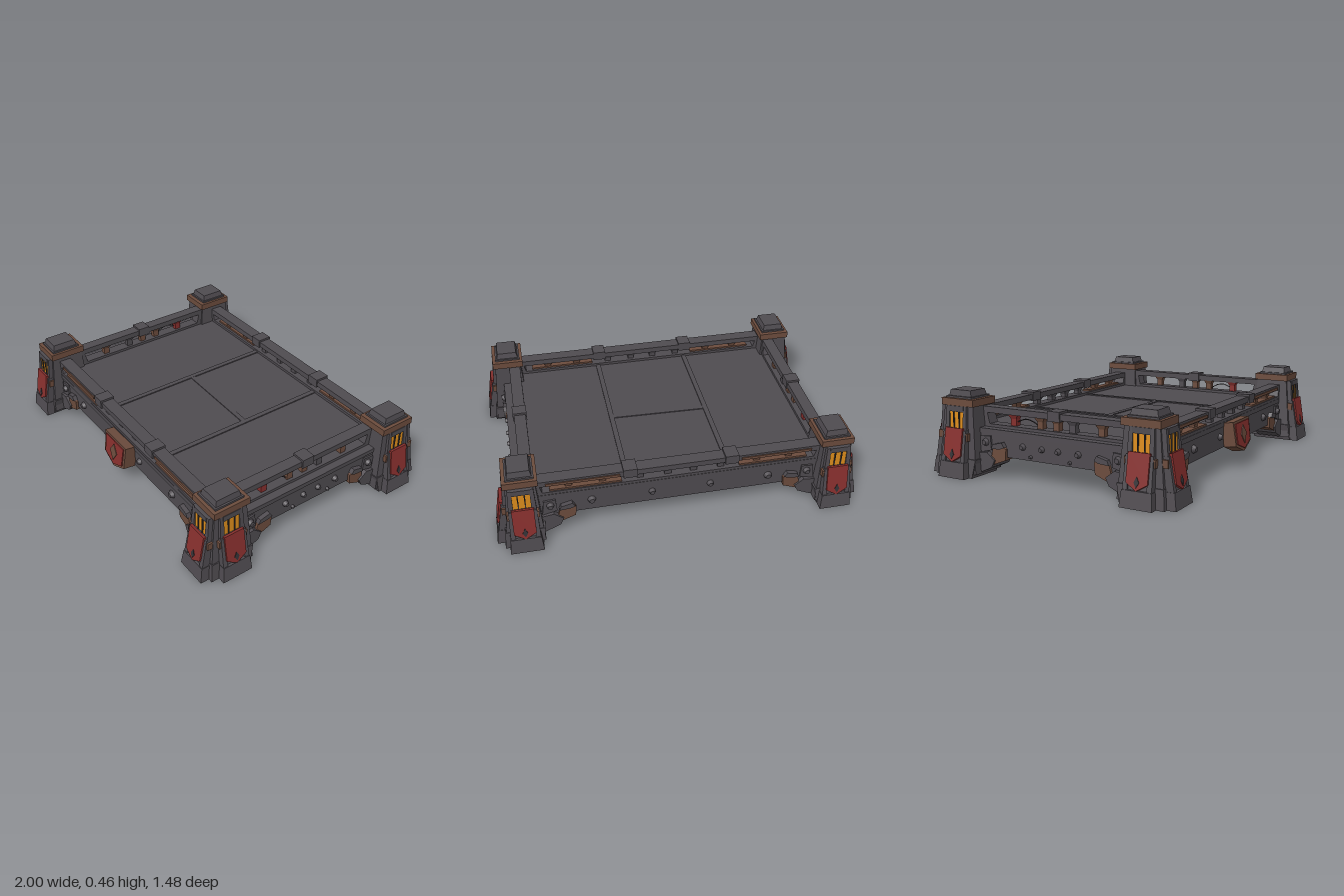
import * as THREE from 'three';

const mat = (name, color) => {
  const m = new THREE.MeshStandardMaterial({ color });
  m.name = name;
  return m;
};

export function createModel() {
  const stone = mat('stone grey', 0x4f4b50);
  const dark = mat('dark iron', 0x343135);
  const bronze = mat('bronze brown', 0x6c4c3d);
  const red = mat('banner red', 0x862f2d);
  const glow = mat('window orange', 0xdb8c1c);
  const root = new THREE.Group();

  const add = (parent, name, geo, m) => {
    const mesh = new THREE.Mesh(geo, m);
    mesh.name = name;
    parent.add(mesh);
    return mesh;
  };
  const group = (name, parent = root) => {
    const g = new THREE.Group();
    g.name = name;
    parent.add(g);
    return g;
  };
  // Box whose bottom and top rectangles [x0, x1, z0, z1] may differ
  const block = (parent, name, m, y0, y1, b, t = b) => {
    const geo = new THREE.BoxGeometry(1, 1, 1);
    const p = geo.attributes.position;
    for (let i = 0; i < p.count; i++) {
      const up = p.getY(i) > 0, r = up ? t : b;
      const [xa, xb] = [Math.min(r[0], r[1]), Math.max(r[0], r[1])];
      const [za, zb] = [Math.min(r[2], r[3]), Math.max(r[2], r[3])];
      p.setXYZ(i, p.getX(i) > 0 ? xb : xa, up ? y1 : y0, p.getZ(i) > 0 ? zb : za);
    }
    geo.computeVertexNormals();
    return add(parent, name, geo, m);
  };
  // Flat outline in x, y pushed out along z
  const plate = (parent, name, m, pts, z0, depth) => {
    const shape = new THREE.Shape(pts.map(([x, y]) => new THREE.Vector2(x, y)));
    const geo = new THREE.ExtrudeGeometry(shape, { depth, bevelEnabled: false });
    geo.translate(0, 0, z0);
    return add(parent, name, geo, m);
  };
  const bolt = (parent, x, y, z, r = 0.02) => {
    const geo = new THREE.CylinderGeometry(r * 0.6, r, 0.02, 8).rotateX(Math.PI / 2);
    add(parent, 'bolt', geo, stone).position.set(x, y, z);
  };

  // Platform
  block(root, 'platform', stone, 0.12, 0.262, [-0.88, 0.88, -0.605, 0.605]);
  for (const x of [-0.272, 0.285]) {
    block(root, 'floorSeam', stone, 0.262, 0.268, [x - 0.014, x + 0.014, -0.54, 0.54]);
  }
  const seam = block(root, 'floorSeam', stone, 0.262, 0.267, [-0.265, 0.27, -0.04, -0.012]);
  seam.rotation.y = -0.03;

  // Buttress with banner and lit window; local z = 0 is its outermost edge
  const buttress = (x, z, angle) => {
    const g = group('buttress');
    g.position.set(x, 0, z);
    g.rotation.y = angle;
    block(g, 'foot', stone, 0, 0.085, [-0.088, 0.088, -0.16, 0], [-0.08, 0.08, -0.16, -0.012]);
    block(g, 'pier', stone, 0.085, 0.255, [-0.058, 0.058, -0.16, -0.026], [-0.052, 0.052, -0.16, -0.055]);
    for (const s of [-1, 1]) {
      block(g, 'pierCheek', stone, 0.085, 0.25, [s * 0.052, s * 0.078, -0.16, -0.016], [s * 0.05, s * 0.073, -0.16, -0.045]);
      block(g, 'bronzeClip', bronze, 0.195, 0.235, [s * 0.07, s * 0.084, -0.12, -0.045]);
      block(g, 'windowJamb', stone, 0.25, 0.376, [s * 0.046, s * 0.072, -0.13, -0.052], [s * 0.046, s * 0.066, -0.13, -0.064]);
    }
    block(g, 'window', glow, 0.255, 0.348, [-0.046, 0.046, -0.12, -0.062], [-0.046, 0.046, -0.12, -0.066]);
    block(g, 'lintel', stone, 0.345, 0.376, [-0.05, 0.05, -0.13, -0.06]);
    for (const bx of [-0.018, 0.018]) {
      block(g, 'windowBar', dark, 0.255, 0.345, [bx - 0.003, bx + 0.003, -0.08, -0.058]);
    }
    // Banner leans back with the pier
    const b = group('banner', g);
    b.position.set(0, 0.262, -0.046);
    b.rotation.x = -0.17;
    plate(b, 'bannerCloth', red, [[-0.058, 0], [-0.058, -0.145], [0, -0.18], [0.058, -0.145], [0.058, 0]], -0.008, 0.016);
    plate(b, 'bannerMark', dark, [[-0.014, -0.14], [0, -0.165], [0.014, -0.14], [0, -0.112]], 0.007, 0.004);
  };

  // Corner towers
  for (const sx of [-1, 1]) for (const sz of [-1, 1]) {
    const g = group('cornerTower');
    const r = (x0, x1, z0, z1) => [sx * x0, sx * x1, sz * z0, sz * z1];
    block(g, 'towerBody', stone, 0.02, 0.38, r(0.745, 0.95, 0.43, 0.685), r(0.77, 0.922, 0.458, 0.648));
    block(g, 'cornice', bronze, 0.376, 0.414, r(0.756, 0.936, 0.446, 0.658));
    block(g, 'capStep', stone, 0.414, 0.424, r(0.772, 0.918, 0.47, 0.64));
    block(g, 'capBlock', stone, 0.424, 0.456, r(0.782, 0.908, 0.48, 0.63), r(0.79, 0.902, 0.488, 0.622));
    block(g, 'innerFoot', stone, 0.0, 0.1, r(0.76, 0.96, 0.45, 0.69), r(0.74, 0.95, 0.43, 0.68));
    buttress(sx * 0.848, sz * 0.738, sz > 0 ? 0 : Math.PI);
    buttress(sx * 1.0, sz * 0.558, sx * Math.PI / 2);
  }

  // One wall facing local +z: half length, outer face, rail heights and depths
  const wall = (name, angle, o) => {
    const g = group(name);
    g.rotation.y = angle;
    const { L, f, y0, y1, r0, r1 } = o;
    block(g, 'topRail', stone, y0, y1, [-L, L, r0, r1]);
    block(g, 'curb', stone, 0.255, 0.278, [-L, L, r0, r1]);
    block(g, 'wallTrim', stone, 0.236, 0.262, [-L, L, f - 0.01, f + 0.004]);
    for (const x of o.clamps) {
      block(g, 'railClamp', stone, y0 - 0.008, y1 + 0.012, [x - 0.037, x + 0.037, r0 - 0.006, r1 + 0.008]);
    }
    // Balusters with flared heads
    const mid = (r0 + r1) / 2;
    for (const [x, m] of o.balusters) {
      block(g, 'baluster', m, 0.278, y0, [x - 0.018, x + 0.018, mid - 0.016, mid + 0.016]);
      block(g, 'balusterHead', m, y0 - 0.022, y0, [x - 0.018, x + 0.018, mid - 0.016, mid + 0.016], [x - 0.03, x + 0.03, mid - 0.026, mid + 0.026]);
    }
    for (const [x, rad] of o.bolts) for (const s of [-1, 1]) bolt(g, s * x, 0.187, f + 0.009, rad);
    for (const s of [-1, 1]) {
      // Rail end block, diagonal brace and its bronze shoe
      block(g, 'railEnd', stone, 0.25, y1, [s * L, s * (L - 0.05), r0, r1], [s * L, s * (L - 0.02), r0, r1]);
      const e = o.brace;
      const pts = (list) => list.map(([u, y]) => [s * (e - u), y]);
      plate(g, 'brace', stone, pts([[-0.06, 0.005], [0, 0.01], [0.11, 0.06], [0.13, 0.1], [0.08, 0.14], [-0.06, 0.12]]), f - 0.12, 0.145);
      plate(g, 'braceShoe', bronze, pts([[0.09, 0.065], [0.115, 0.165], [0.17, 0.18], [0.2, 0.165], [0.195, 0.105]]), f - 0.12, 0.135);
      plate(g, 'braceCap', stone, pts([[0.11, 0.16], [0.12, 0.185], [0.18, 0.2], [0.195, 0.175], [0.17, 0.165]]), f - 0.02, 0.045);
      plate(g, 'bracePlate', stone, pts([[0.02, 0.13], [0.03, 0.22], [0.095, 0.225], [0.1, 0.15]]), f - 0.02, 0.03);
      bolt(g, s * (e - 0.065), 0.19, f + 0.018, 0.022);
    }
    return g;
  };

  const long = {
    L: 0.78, f: 0.605, y0: 0.318, y1: 0.35, r0: 0.535, r1: 0.607, brace: 0.77, clamps: [-0.275, 0.275],
    balusters: [[-0.6, bronze], [-0.42, bronze], [-0.22, stone], [-0.07, stone], [0.07, stone], [0.22, stone], [0.42, bronze], [0.6, bronze]],
    bolts: [[0.16, 0.02], [0.485, 0.024]],
  };
  const short = {
    L: 0.46, f: 0.88, y0: 0.337, y1: 0.37, r0: 0.775, r1: 0.84, brace: 0.47, clamps: [0],
    balusters: [[-0.27, red], [-0.1, bronze], [0, bronze], [0.1, stone], [0.27, bronze]],
    bolts: [[0.05, 0.017], [0.17, 0.019]],
  };
  for (const [name, angle] of [['frontWall', 0], ['backWall', Math.PI]]) {
    const g = wall(name, angle, long);
    // Bronze planks along the outer spans of the rail
    for (const s of [-1, 1]) {
      block(g, 'railPlank', bronze, 0.323, 0.338, [s * 0.33, s * 0.72, 0.6, 0.613]);
      block(g, 'curbPlank', bronze, 0.266, 0.288, [s * 0.32, s * 0.7, 0.55, 0.6]);
    }
  }
  for (const [name, angle] of [['leftWall', Math.PI / 2], ['rightWall', -Math.PI / 2]]) {
    const g = wall(name, angle, short);
    for (const s of [-1, 1]) bolt(g, s * 0.12, 0.14, 0.885, 0.011);
    // Slack cable between balusters
    const curve = new THREE.CatmullRomCurve3([[-0.25, 0.3], [-0.2, 0.318], [-0.15, 0.308], [-0.11, 0.283]]
      .map(([x, y]) => new THREE.Vector3(x, y, 0.81)));
    add(g, 'cable', new THREE.TubeGeometry(curve, 12, 0.003, 5), dark);
  }

  // Front shield, its lower tip leaning outward
  const shield = group('shield');
  shield.position.set(0, 0.262, 0.65);
  shield.rotation.x = -0.14;
  const outline = (k) => [[-0.112, 0], [0.112, 0], [0.105, -0.135], [0, -0.178], [-0.105, -0.135]]
    .map(([x, y]) => [x * k, (y + 0.08) * k - 0.08]);
  plate(shield, 'shieldFrame', bronze, outline(1), -0.06, 0.072);
  plate(shield, 'shieldFace', red, outline(0.84), 0.01, 0.008);
  plate(shield, 'shieldMark', bronze, [[-0.035, -0.08], [0, -0.135], [0.035, -0.08], [0, -0.03]], 0.017, 0.005);

  return root;
}
